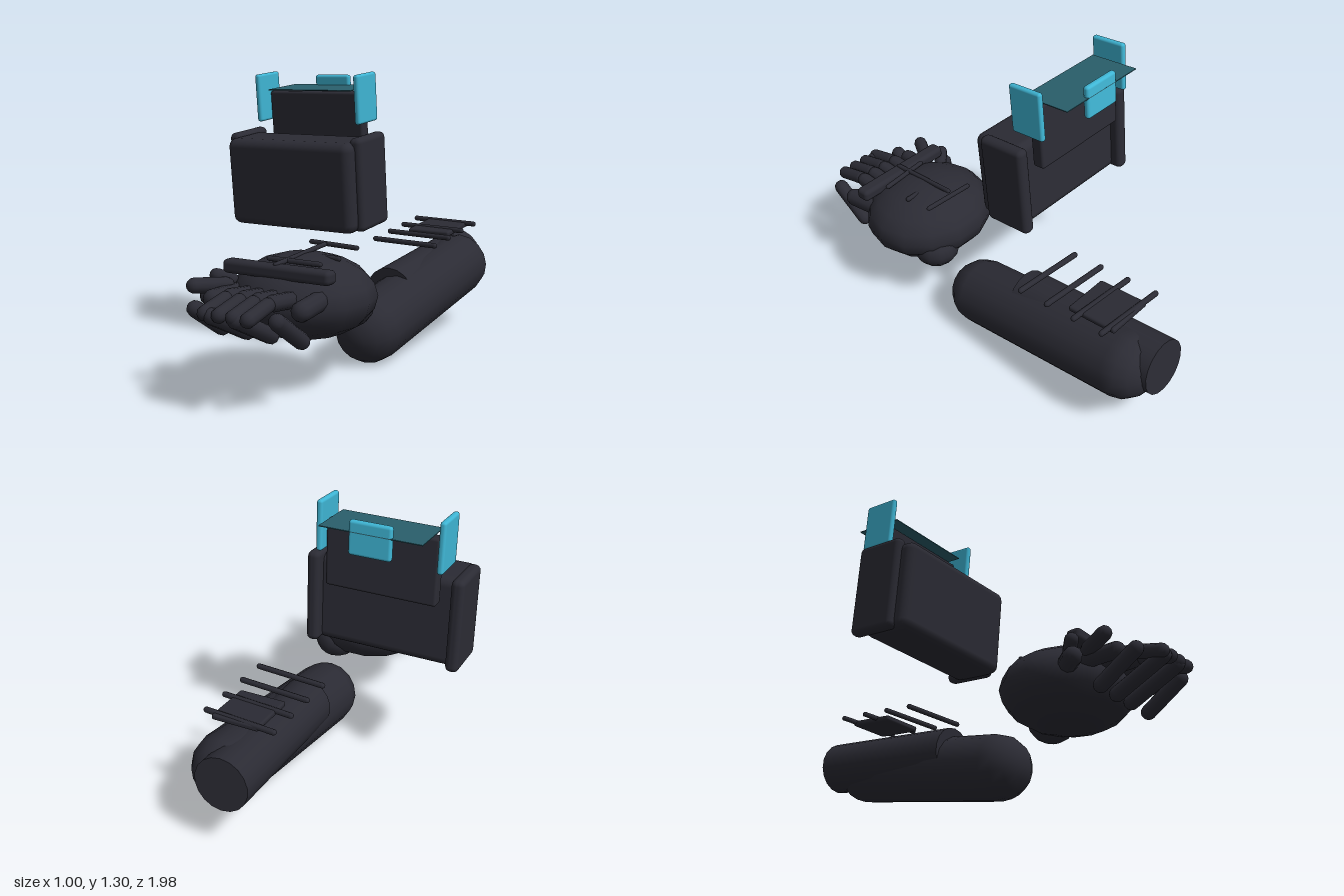
import * as THREE from 'three';
import { RoundedBoxGeometry } from 'three/addons/geometries/RoundedBoxGeometry.js';

const LEAN = 0.1; // shared tilt of the console, lid and arm plate
const CX = -0.144; // centre line of the console

export function createModel() {
  const dark = new THREE.MeshStandardMaterial({ color: 0x2b2b34 });
  dark.name = 'charcoal';
  const cyan = new THREE.MeshStandardMaterial({ color: 0x3fb6d5 });
  cyan.name = 'cyan';
  const teal = new THREE.MeshStandardMaterial({ color: 0x2a606d });
  teal.name = 'dark teal';

  const model = new THREE.Group();
  const group = (name) => {
    const g = new THREE.Group();
    g.name = name;
    model.add(g);
    return g;
  };
  const put = (parent, name, geo, mat, pos, tilt = 0) => {
    const m = new THREE.Mesh(geo, mat);
    m.name = name;
    m.position.set(...pos);
    m.rotation.x = tilt;
    parent.add(m);
    return m;
  };
  // Place a y-aligned shape between two points
  const between = (parent, name, a, b, makeGeo) => {
    const p = new THREE.Vector3(...a), q = new THREE.Vector3(...b);
    const dir = q.clone().sub(p);
    const m = put(parent, name, makeGeo(dir.length()), dark, p.clone().add(q).multiplyScalar(0.5).toArray());
    m.quaternion.setFromUnitVectors(new THREE.Vector3(0, 1, 0), dir.normalize());
    return m;
  };
  const capsule = (parent, name, a, b, r, sides = 10) =>
    between(parent, name, a, b, (l) => new THREE.CapsuleGeometry(r, l, 4, sides));

  // Console: chamfered body, two cheek panels and a rear slab
  const consoleGroup = group('console');
  put(consoleGroup, 'consoleBody', new RoundedBoxGeometry(0.67, 0.41, 0.25, 2, 0.04), dark, [CX, 0.795, -0.035], LEAN);
  for (const s of [-1, 1]) {
    put(consoleGroup, 'cheekPanel', new RoundedBoxGeometry(0.06, 0.425, 0.24, 2, 0.025), dark,
      [CX + s * 0.331, 0.81, -0.088], LEAN);
  }
  put(consoleGroup, 'rearSlab', new RoundedBoxGeometry(0.507, 0.3, 0.06, 2, 0.012), dark, [CX, 1.06, -0.182], LEAN);

  // Display: thin lid with three glowing panels
  const display = group('display');
  put(display, 'lid', new THREE.BoxGeometry(0.455, 0.004, 0.236), teal, [CX, 1.225, -0.207], LEAN);
  for (const s of [-1, 1]) {
    put(display, 'sidePanel', new RoundedBoxGeometry(0.028, 0.225, 0.17, 2, 0.012), cyan,
      [CX + s * 0.272, 1.181, -0.15], LEAN);
  }
  put(display, 'backPanel', new RoundedBoxGeometry(0.19, 0.15, 0.03, 2, 0.013), cyan, [CX, 1.21, -0.312], LEAN);

  // Forearm and its sleeve
  const arm = group('arm');
  capsule(arm, 'forearm', [0.25, 0.155, 0.01], [0.28, 0.312, -0.83], 0.154, 16);
  between(arm, 'sleeve', [0.22, 0.265, -0.235], [0.217, 0.345, -0.987],
    (l) => new THREE.CylinderGeometry(0.125, 0.125, l, 18));

  // Floating plate and rods above the arm
  put(arm, 'armPlate', new RoundedBoxGeometry(0.22, 0.026, 0.24, 2, 0.01), dark, [0.24, 0.52, -0.7], LEAN);
  [[-0.8, 0.537], [-0.655, 0.523], [-0.51, 0.508], [-0.363, 0.492]].forEach(([z, y]) =>
    capsule(arm, 'armRod', [0.06, y, z - 0.012], [0.39, y, z + 0.012], 0.013, 8));

  // Palm with heel pad and knuckle bar
  const hand = group('hand');
  const palm = put(hand, 'palm', new THREE.SphereGeometry(1, 14, 10), dark, [0.182, 0.39, 0.44], 0.03);
  palm.scale.set(0.315, 0.177, 0.292);
  const heel = put(hand, 'heelPad', new THREE.SphereGeometry(1, 12, 8), dark, [0.3, 0.325, 0.275]);
  heel.scale.set(0.11, 0.095, 0.11);
  put(hand, 'knuckleBar', new RoundedBoxGeometry(0.51, 0.058, 0.07, 2, 0.02), dark, [0.187, 0.52, 0.628]).rotation.y = 0.015;

  // Thin rods on the back of the hand
  capsule(hand, 'handRod', [0.19, 0.578, 0.29], [0.185, 0.548, 0.64], 0.011, 8);
  capsule(hand, 'handRod', [0.1, 0.576, 0.254], [0.335, 0.572, 0.268], 0.011, 8);
  capsule(hand, 'handRod', [0.105, 0.555, 0.572], [0.335, 0.55, 0.552], 0.011, 8);
  capsule(hand, 'handRod', [0.1, 0.55, 0.41], [0.335, 0.55, 0.411], 0.011, 8);

  // Four upper fingers, each with two segments
  for (const x of [0.08, 0.148, 0.215, 0.282]) {
    capsule(hand, 'fingerBase', [x, 0.42, 0.62], [x, 0.437, 0.8], 0.034);
    capsule(hand, 'fingerTip', [x, 0.435, 0.83], [x, 0.405, 0.953], 0.031);
  }
  // Lower fingers curling back beneath
  [[-0.02, 0.89], [0.105, 0.945], [0.22, 0.945], [0.365, 0.885]].forEach(([x, z]) =>
    capsule(hand, 'curledFinger', [x, 0.395, z], [x, 0.285, 0.725], 0.034));
  capsule(hand, 'littleFingerBase', [0.37, 0.42, 0.6], [0.385, 0.41, 0.755], 0.042);
  capsule(hand, 'outerFingerBase', [0.0, 0.42, 0.6], [-0.01, 0.42, 0.8], 0.036);

  // Thumb and side finger
  capsule(hand, 'thumbBase', [0.0, 0.41, 0.54], [-0.13, 0.388, 0.665], 0.042);
  capsule(hand, 'thumbTip', [-0.06, 0.455, 0.61], [-0.105, 0.475, 0.65], 0.03);
  capsule(hand, 'sideFinger', [-0.03, 0.45, 0.68], [-0.1, 0.46, 0.8], 0.032);

  return model;
}
